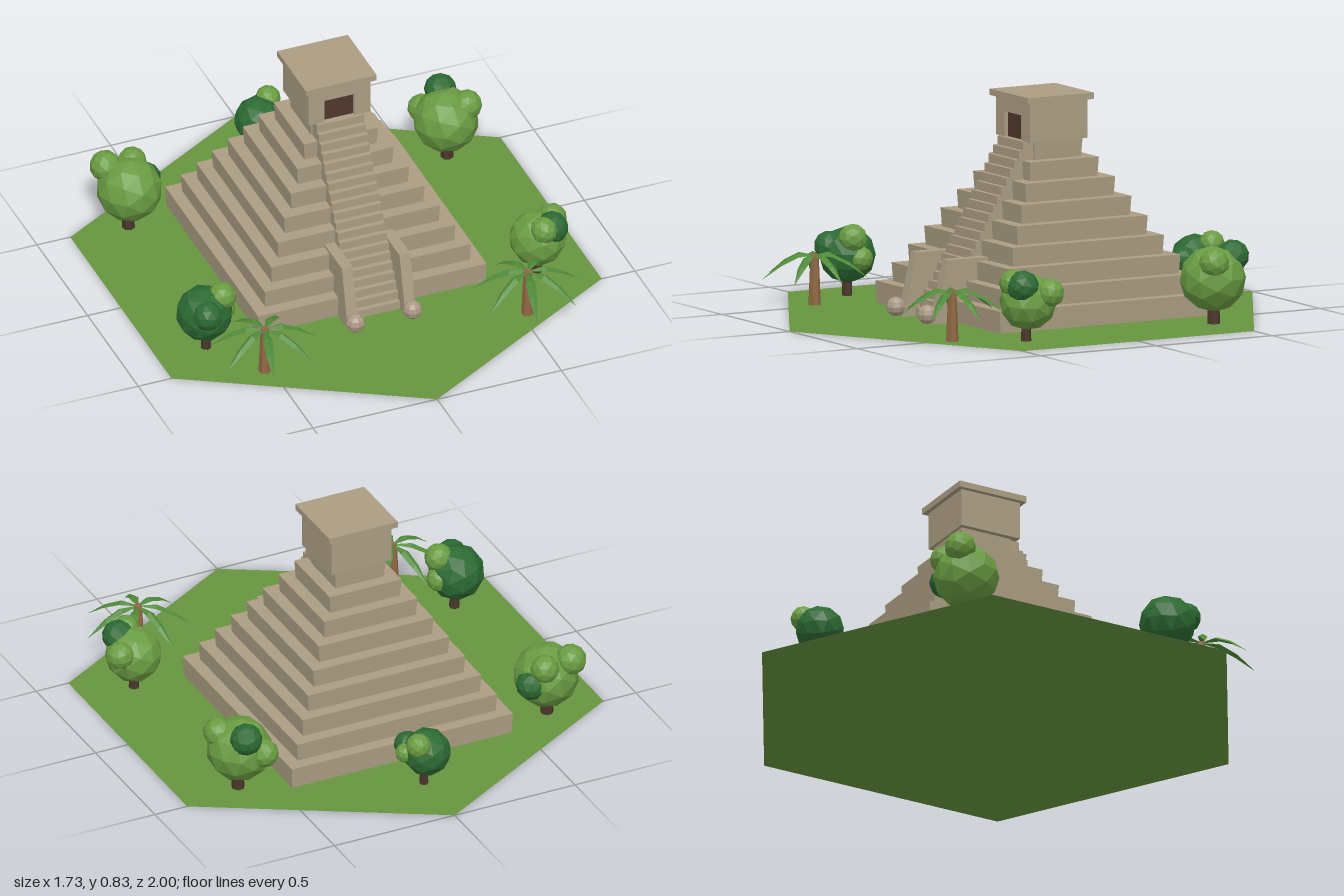
import * as THREE from 'three';

function mat(name, color, side = THREE.FrontSide) {
  const m = new THREE.MeshStandardMaterial({ color, flatShading: true, side });
  m.name = name;
  return m;
}

export function createModel() {
  const grass = mat('grass', 0x66943f, THREE.DoubleSide);
  const stone = mat('sandstone', 0xaa9d82);
  const ballStone = mat('ballStone', 0xac9a86);
  const dark = mat('doorway', 0x4f382c);
  const bark = mat('bark', 0x4a362a);
  const palmBark = mat('palmBark', 0x8f6743);
  const leafLight = mat('lightLeaves', 0x6a9c42);
  const leafDark = mat('darkLeaves', 0x2c6a33);
  const palmLeaf = mat('palmLeaves', 0x4f8a38, THREE.DoubleSide);

  const model = new THREE.Group();
  const BASE = 0.002; // parts rest just above the lawn

  function add(parent, name, geo, material, x = 0, y = 0, z = 0) {
    const m = new THREE.Mesh(geo, material);
    m.name = name;
    m.position.set(x, y, z);
    parent.add(m);
    return m;
  }
  function group(name, x = 0, y = 0, z = 0) {
    const g = new THREE.Group();
    g.name = name;
    g.position.set(x, y, z);
    model.add(g);
    return g;
  }
  // Square block whose top may be a little wider than its foot
  function block(top, bottom, h) {
    return new THREE.CylinderGeometry(top * Math.SQRT2, bottom * Math.SQRT2, h, 4).rotateY(Math.PI / 4);
  }
  // Side profile of [z, y] points, extruded along x and centred
  function sideProfile(points, width) {
    const shape = new THREE.Shape(points.map(([z, y]) => new THREE.Vector2(z, y)));
    return new THREE.ExtrudeGeometry(shape, { depth: width, bevelEnabled: false })
      .rotateY(-Math.PI / 2).translate(width / 2, 0, 0);
  }

  // Hexagonal lawn
  add(model, 'lawn', new THREE.CircleGeometry(1, 6, Math.PI / 2).rotateX(-Math.PI / 2), grass);

  // Nine stacked tiers
  const pyramid = group('pyramid', 0, 0, -0.1);
  let y = BASE;
  for (let i = 0; i < 9; i++) {
    const h = i === 0 ? 0.083 : 0.0713;
    const half = 0.46 - i * 0.0444;
    add(pyramid, 'tier', block(half, half - 0.004, h), stone, 0, y + h / 2, 0);
    y += h;
  }

  // Temple: core, jambs and lintel around a recessed doorway, roof slab
  const temple = group('temple', 0, 0.655, -0.09);
  add(temple, 'core', new THREE.BoxGeometry(0.25, 0.147, 0.23), stone, 0, 0.0735, -0.01);
  for (const s of [-1, 1]) {
    add(temple, 'jamb', new THREE.BoxGeometry(0.065, 0.147, 0.02), stone, s * 0.0925, 0.0735, 0.115);
  }
  add(temple, 'lintel', new THREE.BoxGeometry(0.12, 0.052, 0.02), stone, 0, 0.121, 0.115);
  add(temple, 'doorway', new THREE.BoxGeometry(0.12, 0.095, 0.006), dark, 0, 0.0475, 0.108);
  add(temple, 'roof', new THREE.BoxGeometry(0.285, 0.024, 0.285), stone, 0, 0.159, 0);

  // Front stairway
  const stairs = group('stairway');
  const steps = 20, rise = 0.653 / steps, run = 0.0186;
  const profile = [[0, BASE]];
  for (let i = 0; i < steps; i++) {
    const z = 0.4 - i * run;
    profile.push([z, BASE + i * rise], [z, BASE + (i + 1) * rise]);
  }
  profile.push([0, BASE + steps * rise]);
  add(stairs, 'steps', sideProfile(profile, 0.19), stone);

  // Side walls and stone balls at the foot of the stairs
  const wall = sideProfile([[0.2, BASE], [0.452, BASE], [0.395, 0.24], [0.2, 0.24]], 0.042);
  for (const s of [-1, 1]) {
    add(stairs, 'sideWall', wall, stone, s * 0.116, 0, 0);
    add(stairs, 'stoneBall', new THREE.SphereGeometry(0.037, 8, 6), ballStone, s * 0.115, 0.04, 0.474);
  }

  // Broadleaf trees: trunk plus faceted leaf clumps [x, y, z, radius, isDark]
  function tree(x, z, trunkRadius, clumps) {
    const g = group('tree', x, 0, z);
    add(g, 'trunk', new THREE.CylinderGeometry(trunkRadius * 0.8, trunkRadius, 0.12, 7), bark, 0, 0.06 + BASE, 0);
    clumps.forEach(([cx, cy, cz, r, isDark], i) => {
      const m = add(g, 'leafClump', new THREE.IcosahedronGeometry(r, 1), isDark ? leafDark : leafLight, cx - x, cy, cz - z);
      m.rotation.set(i * 0.7 + x, i * 1.3 + z, 0);
    });
  }
  tree(-0.64, -0.48, 0.025, [
    [-0.635, 0.17, -0.485, 0.125, 0], [-0.55, 0.17, -0.53, 0.058, 1],
    [-0.705, 0.25, -0.55, 0.06, 0], [-0.595, 0.24, -0.555, 0.055, 0]]);
  tree(0.635, -0.46, 0.025, [
    [0.63, 0.17, -0.46, 0.125, 0], [0.64, 0.252, -0.54, 0.062, 1],
    [0.7, 0.24, -0.425, 0.058, 0], [0.57, 0.18, -0.55, 0.055, 0]]);
  tree(0, -0.74, 0.017, [
    [-0.005, 0.145, -0.755, 0.092, 1], [0.05, 0.205, -0.795, 0.048, 0],
    [0.04, 0.15, -0.68, 0.05, 1], [0.075, 0.15, -0.735, 0.038, 0]]);
  tree(-0.67, 0.36, 0.02, [
    [-0.675, 0.155, 0.355, 0.108, 1], [-0.61, 0.225, 0.37, 0.055, 0],
    [-0.69, 0.19, 0.425, 0.058, 1], [-0.6, 0.15, 0.345, 0.05, 0]]);
  tree(0.66, 0.365, 0.02, [
    [0.665, 0.15, 0.36, 0.108, 0], [0.705, 0.215, 0.405, 0.062, 1],
    [0.745, 0.19, 0.31, 0.054, 0], [0.665, 0.225, 0.425, 0.052, 0]]);

  // Drooping palm leaf, ridged along its middle: [distance, height, half width]
  function frondGeometry() {
    const rows = [[0.012, 0, 0.005], [0.07, 0.004, 0.018], [0.135, -0.028, 0.015], [0.205, -0.085, 0.001]];
    const pos = [], index = [];
    rows.forEach(([d, h, w], i) => {
      pos.push(d, h - w * 0.6, w, d, h, 0, d, h - w * 0.6, -w);
      if (i === 0) return;
      for (let k = 0; k < 2; k++) {
        const a = (i - 1) * 3 + k, b = a + 3;
        index.push(a, b, a + 1, b, b + 1, a + 1);
      }
    });
    const geo = new THREE.BufferGeometry();
    geo.setAttribute('position', new THREE.Float32BufferAttribute(pos, 3));
    geo.setIndex(index);
    geo.computeVertexNormals();
    return geo;
  }
  const frond = frondGeometry();
  for (const [x, z] of [[-0.525, 0.585], [0.525, 0.605]]) {
    const palm = group('palm', x, 0, z);
    add(palm, 'palmTrunk', new THREE.CylinderGeometry(0.016, 0.024, 0.19, 7), palmBark, 0, 0.095 + BASE, 0);
    for (let i = 0; i < 7; i++) {
      add(palm, 'palmLeaf', frond, palmLeaf, 0, 0.191, 0).rotation.y = -i * Math.PI * 2 / 7;
    }
  }
  return model;
}
